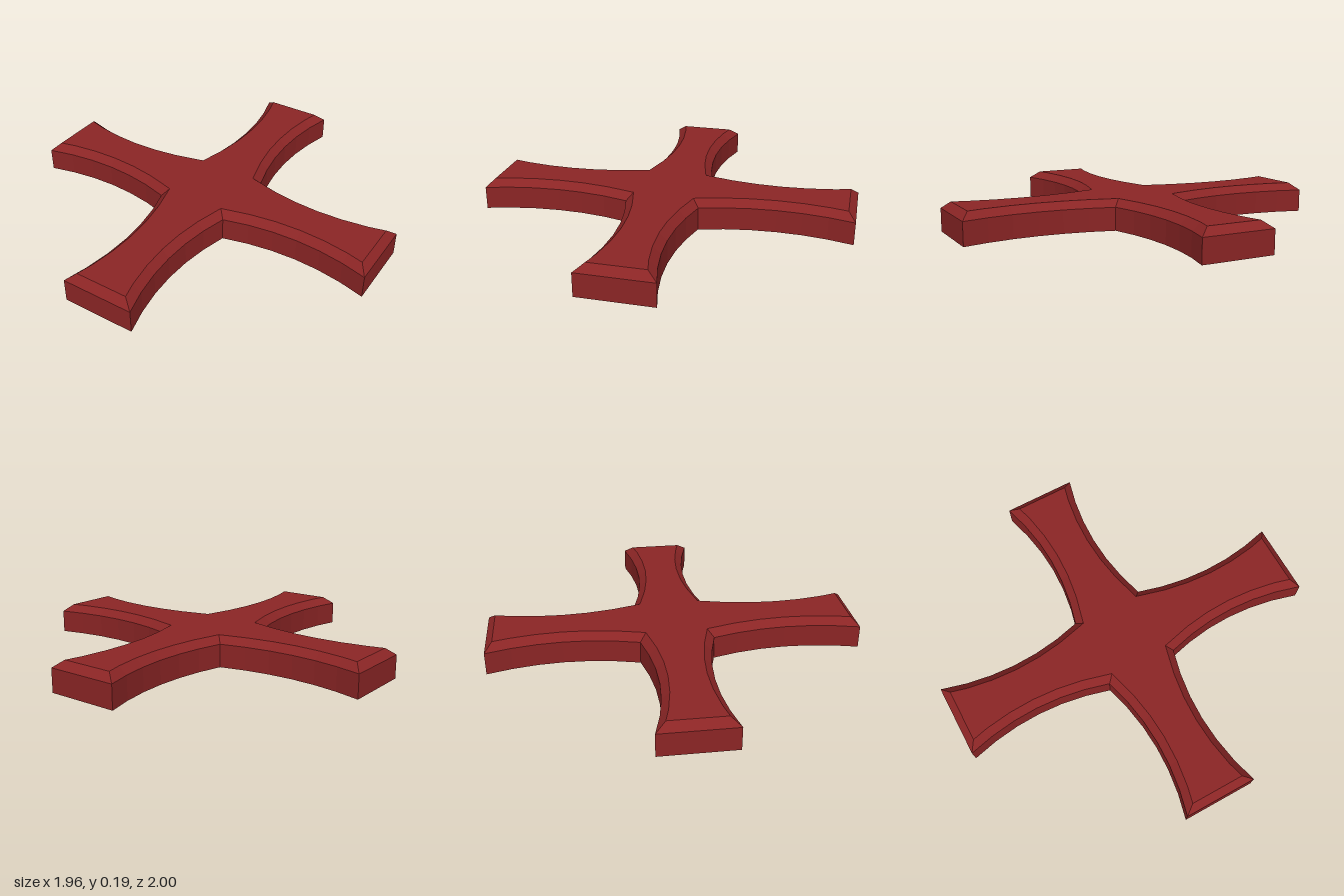
import * as THREE from 'three';

const WALL_TOP = 0.145, TOP = 0.19, BEVEL = 0.047, SEGMENTS = 6;

const v2 = (x, z) => new THREE.Vector2(x, z);

// Concave edge of an arm, in the (x, z) plane
const arc = (a, c, b) => new THREE.QuadraticBezierCurve(a, c, b).getPoints(SEGMENTS);

// Full cross outline: one arm, mirrored front to back, then side to side
function crossOutline() {
  const quarter = [
    ...arc(v2(0, -0.325), v2(0.43, -0.56), v2(0.655, -1)),
    ...arc(v2(0.98, -0.675), v2(0.55, -0.435), v2(0.325, 0)),
  ];
  const front = quarter.slice(0, -1).reverse().map((p) => v2(p.x, -p.y));
  const half = [...quarter, ...front];
  const left = half.slice(1, -1).reverse().map((p) => v2(-p.x, p.y));
  return [...half, ...left];
}

// Mitred inward offset of a closed outline
function inset(points, d) {
  const n = points.length;
  const inward = (a, b) => {
    const e = b.clone().sub(a).normalize();
    return v2(-e.y, e.x);
  };
  return points.map((p, i) => {
    const n1 = inward(points[(i + n - 1) % n], p);
    const n2 = inward(p, points[(i + 1) % n]);
    return p.clone().addScaledVector(n1.clone().add(n2), d / (1 + n1.dot(n2)));
  });
}

// Solid with upright walls, a sloping bevel and flat caps
function bevelledCross() {
  const outer = crossOutline();
  const inner = inset(outer, BEVEL);
  const n = outer.length;
  const positions = [];
  const rings = [[outer, 0], [outer, WALL_TOP], [inner, TOP]];
  for (const [ring, y] of rings) for (const p of ring) positions.push(p.x, y, p.y);

  const index = [];
  for (let r = 0; r < 2; r++) {
    for (let i = 0; i < n; i++) {
      const a = r * n + i, b = r * n + (i + 1) % n;
      index.push(a, a + n, b + n, a, b + n, b);
    }
  }
  for (const [a, b, c] of THREE.ShapeUtils.triangulateShape(outer, [])) index.push(a, b, c);
  for (const [a, b, c] of THREE.ShapeUtils.triangulateShape(inner, [])) {
    index.push(2 * n + a, 2 * n + c, 2 * n + b);
  }

  const indexed = new THREE.BufferGeometry();
  indexed.setAttribute('position', new THREE.Float32BufferAttribute(positions, 3));
  indexed.setIndex(index);
  const geometry = indexed.toNonIndexed();
  geometry.computeVertexNormals();
  return geometry;
}

export function createModel() {
  const group = new THREE.Group();
  group.name = 'flaredCross';
  const red = new THREE.MeshStandardMaterial({ color: 0x8b2525 });
  red.name = 'dark red';
  const cross = new THREE.Mesh(bevelledCross(), red);
  cross.name = 'crossBody';
  group.add(cross);
  return group;
}
